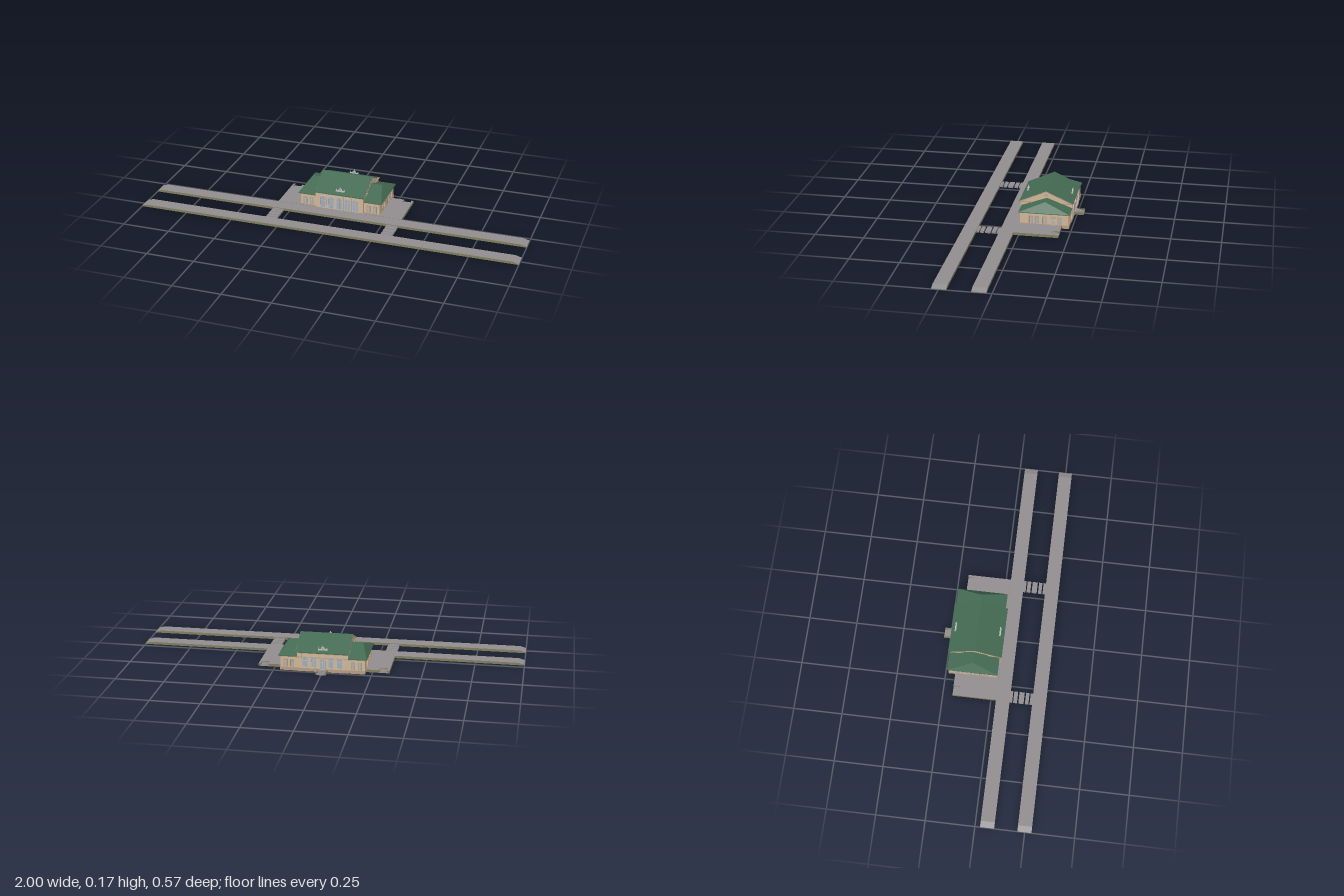
import * as THREE from 'three';

const mat = (name, color) => {
  const m = new THREE.MeshStandardMaterial({ color, side: THREE.DoubleSide });
  m.name = name;
  return m;
};
const wall = mat('sand wall', 0xcfb597);
const trim = mat('dark sand trim', 0xb59b80);
const green = mat('green roof', 0x446a52);
const paving = mat('grey paving', 0x918d8e);
const olive = mat('olive base', 0x7f7e5c);
const glass = mat('pale glass', 0xa4abb4);
const stone = mat('light stone', 0xbdbcb8);

const CX = 0.13, WX = 0.215;          // half widths: hall, hall plus wings
const MID = -0.106, FLOOR = 0.014;    // ridge line z, ground floor level

export function createModel() {
  const model = new THREE.Group();

  const add = (name, geo, material, parent = model) => {
    const m = new THREE.Mesh(geo, material);
    m.name = name;
    parent.add(m);
    return m;
  };
  const box = (name, x0, x1, y0, y1, z0, z1, material, parent) => {
    const m = add(name, new THREE.BoxGeometry(x1 - x0, y1 - y0, z1 - z0), material, parent);
    m.position.set((x0 + x1) / 2, (y0 + y1) / 2, (z0 + z1) / 2);
    return m;
  };
  const poly = (pts) => new THREE.Shape(pts.map(([a, b]) => new THREE.Vector2(a, b)));
  const extrude = (shape, depth) =>
    new THREE.ExtrudeGeometry(shape, { depth, bevelEnabled: false, curveSegments: 8 });
  // Plan outline given as [x, z], raised from y0 to y1
  const plan = (name, pts, y0, y1, material, hole) => {
    const s = poly(pts.map(([x, z]) => [x, -z]));
    if (hole) s.holes.push(poly(hole.map(([x, z]) => [x, -z])));
    add(name, extrude(s, y1 - y0).rotateX(-Math.PI / 2).translate(0, y0, 0), material);
  };
  // Section given as [z, y], drawn out from x0 to x1
  const section = (name, pts, x0, x1, material) =>
    add(name, extrude(poly(pts.map(([z, y]) => [-z, y])), x1 - x0)
      .rotateY(Math.PI / 2).translate(x0, 0, 0), material);
  const rect = (x0, x1, z0, z1) => [[x0, z0], [x1, z0], [x1, z1], [x0, z1]];

  // Two long platforms with sloping ends
  for (const z of [0.026, 0.213]) {
    const s = poly([[-1, 0], [1, 0], [1, 0.004], [0.97, 0.013], [-0.97, 0.013], [-1, 0.004]]);
    add('platform', extrude(s, 0.071).translate(0, 0, z), [olive, paving]);
  }

  // Track crossings
  for (const x of [-0.308, 0.308])
    for (const [z0, z1] of [[0.097, 0.11], [0.115, 0.135], [0.142, 0.169], [0.176, 0.194], [0.2, 0.213]])
      box('crossingSlab', x - 0.03, x + 0.03, 0, 0.01, z0, z1, paving);

  // Forecourt, open under the hall and notched for rear stairs
  const court = [[-0.336, 0.026], [0.336, 0.026], [0.336, -0.2], [0.325, -0.2], [0.325, -0.165],
    [0.285, -0.165], [0.285, -0.2], [-0.285, -0.2], [-0.285, -0.165], [-0.325, -0.165],
    [-0.325, -0.2], [-0.336, -0.2]];
  plan('forecourt', court, 0, FLOOR, [paving, olive], rect(-0.205, 0.205, -0.19, 0.01));
  for (const s of [-1, 1]) for (let i = 0; i < 3; i++)
    box('courtStair', s * 0.305 - 0.02, s * 0.305 + 0.02, 0, 0.0105 - i * 0.0035,
      -0.177 - i * 0.0115, -0.165 - i * 0.0115, paving);

  // Hall and wing walls
  const ring = (x0, x1, z0, z1) => [rect(x0, x1, z0, z1), rect(x0 + 0.005, x1 - 0.005, z0 + 0.005, z1 - 0.005)];
  const [hallOut, hallIn] = ring(-CX, CX, -0.238, 0.026);
  plan('hallWalls', hallOut, 0, 0.1, wall, hallIn);
  for (const s of [-1, 1]) {
    const [o, n] = ring(s < 0 ? -WX : CX - 0.005, s < 0 ? 0.005 - CX : WX, -0.234, 0.014);
    plan('wingWalls', o, 0, 0.077, wall, n);
    const x = s * (CX - 0.0025);
    section('hallGable', [[0.026, 0.1], [-0.238, 0.1], [MID, 0.159]], x - 0.0025, x + 0.0025, wall);
  }

  // Plinths and cornices
  const band = (name, x, z0, z1, y0, y1, out, m) => plan(name, rect(-x - out, x + out, z0 - out, z1 + out),
    y0, y1, m, rect(-x + 0.004, x - 0.004, z0 + 0.004, z1 - 0.004));
  band('wingPlinth', WX, -0.234, 0.014, 0, 0.017, 0.002, trim);
  band('hallPlinth', CX, -0.238, 0.026, 0, 0.017, 0.001, trim);
  band('wingCornice', WX, -0.234, 0.014, 0.072, 0.077, 0.005, trim);
  band('hallCornice', CX, -0.238, 0.026, 0.096, 0.101, 0.004, trim);

  // Hall roof with sand coloured rakes under its ends
  const slope = (top, t, over) => [[0.028 + over, 0.103], [MID, top], [-0.24 - over, 0.103],
    [-0.24 - over, 0.103 - t], [MID, top - t], [0.028 + over, 0.103 - t]];
  section('hallRoof', slope(0.166, 0.004, 0.004), -0.136, 0.136, green);
  for (const s of [-1, 1])
    section('hallRake', slope(0.163, 0.005, 0.002), s * 0.133 - 0.0035, s * 0.133 + 0.0035, trim);

  // Hipped wing roofs
  for (const s of [-1, 1]) {
    const v = (x, y, z) => [s * x, y, z];
    const e = 0.226, a = 0.188, zf = 0.021, zb = -0.24, y = 0.078;
    const A = v(e, y, zf), B = v(e, y, zb), C = v(a, 0.126, -0.11);
    const D = v(CX, y, zf), E = v(CX, y, zb), F = v(CX, 0.126, -0.11);
    const tris = [D, A, C, D, C, F, A, B, C, B, E, F, B, F, C];
    const g = new THREE.BufferGeometry();
    g.setAttribute('position', new THREE.Float32BufferAttribute(tris.flat(), 3));
    if (s < 0) g.setIndex(tris.map((_, i) => tris.length - 1 - i));
    const flat = g.index ? g.toNonIndexed() : g;
    flat.computeVertexNormals();
    add('wingRoof', flat, green);
    // Eave boards
    const x0 = Math.min(s * CX, s * e), x1 = Math.max(s * CX, s * e);
    box('eaveBoard', x0, x1, 0.0755, 0.0785, zf - 0.004, zf, green);
    box('eaveBoard', x0, x1, 0.0755, 0.0785, zb, zb + 0.004, green);
    box('eaveBoard', s * (e - 0.002) - 0.002, s * (e - 0.002) + 0.002, 0.0755, 0.0785, zb, zf, green);
  }

  // Framed opening, square or round headed, facing local +z
  const outline = (w, y0, h, arched) => {
    const s = new THREE.Shape(), r = w / 2;
    s.moveTo(-r, y0);
    s.lineTo(r, y0);
    if (arched) {
      s.lineTo(r, h - r);
      s.absarc(0, h - r, r, 0, Math.PI, false);
    } else {
      s.lineTo(r, h);
      s.lineTo(-r, h);
    }
    s.closePath();
    return s;
  };
  const opening = (name, x, y, z, turn, w, h, arched, frameMat = trim) => {
    const g = new THREE.Group();
    g.name = name;
    const frame = outline(w + 0.006, 0, h + 0.003, arched);
    frame.holes.push(outline(w, 0.002, h, arched));
    add('frame', extrude(frame, 0.003), frameMat, g);
    add('pane', extrude(outline(w, 0.001, h, arched), 0.001), glass, g);
    box('mullion', -0.0007, 0.0007, 0.002, h - 0.001, 0.0005, 0.002, stone, g);
    box('transom', -w / 2, w / 2, h * 0.62, h * 0.62 + 0.0014, 0.0005, 0.002, stone, g);
    g.position.set(x, y, z);
    g.rotation.y = turn;
    model.add(g);
  };

  // Arcades on the front and back of the hall, with pilasters between
  for (let i = -2; i <= 2; i++) {
    opening('frontArch', i * 0.044, 0.016, 0.026, 0, 0.03, 0.068, true, stone);
    opening(i ? 'rearArch' : 'rearDoor', i * 0.044, i ? 0.022 : FLOOR, -0.238, Math.PI, 0.024, 0.058, true, stone);
  }
  for (let i = 0; i < 6; i++) {
    const x = (i - 2.5) * 0.044;
    box('frontPilaster', x - 0.003, x + 0.003, 0.016, 0.096, 0.026, 0.029, wall);
    box('rearPilaster', x - 0.003, x + 0.003, 0.016, 0.096, -0.241, -0.238, wall);
  }

  // Wing windows, side doors and gable lights
  for (const s of [-1, 1]) {
    const turn = s * Math.PI / 2;
    for (const x of [0.155, 0.19]) {
      opening('wingWindow', s * x, 0.02, 0.014, 0, 0.014, 0.037, false);
      opening('wingWindow', s * x, 0.02, -0.234, Math.PI, 0.014, 0.037, false);
    }
    for (const z of [-0.042, -0.073, -0.111, -0.188])
      opening('sideWindow', s * WX, 0.018, z, turn, 0.016, 0.038, false);
    opening('sideDoor', s * WX, FLOOR, -0.156, turn, 0.014, 0.044, true, wall);
    const hood = new THREE.TorusGeometry(0.011, 0.002, 4, 10, Math.PI);
    const h = add('doorHood', hood, trim);
    h.position.set(s * (WX + 0.004), 0.052, -0.156);
    h.rotation.y = turn;
    const light = add('gableLight', new THREE.CylinderGeometry(0.006, 0.006, 0.003, 14), glass);
    const rim = add('gableRim', new THREE.TorusGeometry(0.0068, 0.0015, 5, 14), stone);
    light.rotation.z = Math.PI / 2;
    rim.rotation.y = Math.PI / 2;
    for (const m of [light, rim]) m.position.set(s * (CX + 0.001), 0.14, MID);
  }

  // Stone crests standing on both roof slopes
  for (const z of [0.009, -0.222]) {
    const crest = new THREE.Group();
    crest.name = 'roofCrest';
    box('crestBase', -0.024, 0.024, 0.102, 0.117, -0.004, 0.004, stone, crest);
    const arch = add('crestArch', extrude(outline(0.022, 0.115, 0.129, true), 0.005), stone, crest);
    arch.position.z = -0.0025;
    for (const [x, y, hgt] of [[-0.021, 0.117, 0.014], [0, 0.128, 0.012], [0.021, 0.117, 0.014]]) {
      const f = add('crestFinial', new THREE.ConeGeometry(0.003, hgt, 6), stone, crest);
      f.position.set(x, y + hgt / 2, 0);
    }
    const dial = add('crestDial', new THREE.CylinderGeometry(0.006, 0.006, 0.007, 14), glass, crest);
    dial.rotation.x = Math.PI / 2;
    dial.position.y = 0.122;
    crest.position.z = z;
    model.add(crest);
  }

  // Rear door steps between cheek walls
  for (const s of [-1, 1])
    box('stepCheek', s * 0.023 - 0.003, s * 0.023 + 0.003, 0, FLOOR, -0.284, -0.238, olive);
  for (let i = 0; i < 4; i++)
    box('rearStep', -0.02, 0.02, 0, FLOOR - i * 0.0035, i ? -0.26 - i * 0.008 : -0.26,
      i ? -0.252 - i * 0.008 : -0.238, paving);

  return model;
}
